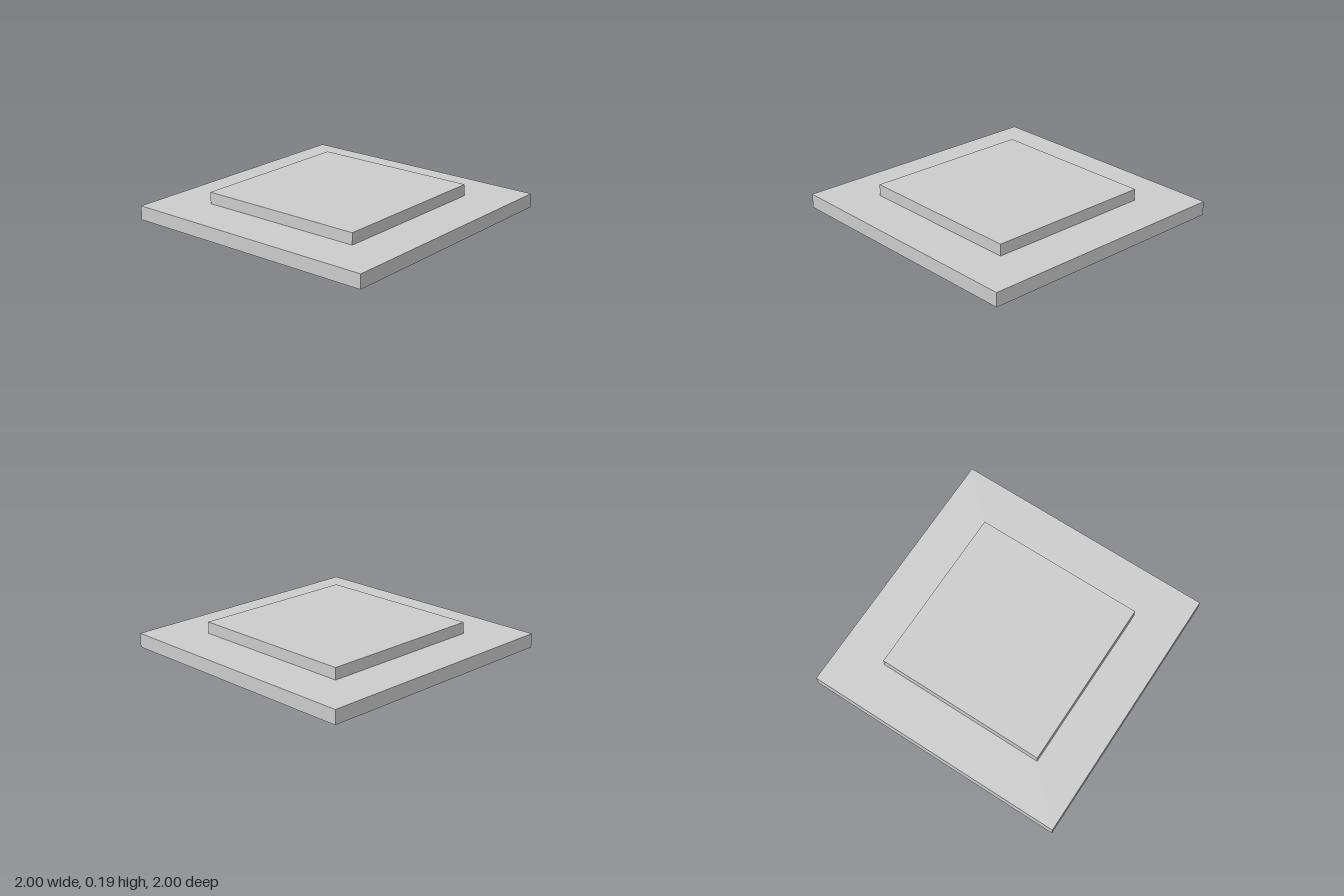
import * as THREE from 'three';

const BASE_HEIGHT = 0.105;
const STEP_HEIGHT = 0.087;

export function createModel() {
  const group = new THREE.Group();
  group.name = 'steppedPlinth';
  const material = new THREE.MeshStandardMaterial({ color: 0xcccccc });

  // Square slab resting on the given height
  function addSlab(name, width, height, bottom) {
    const slab = new THREE.Mesh(new THREE.BoxGeometry(width, height, width), material);
    slab.name = name;
    slab.position.y = bottom + height / 2;
    group.add(slab);
  }

  addSlab('baseSlab', 2, BASE_HEIGHT, 0);
  addSlab('upperSlab', 1.3, STEP_HEIGHT, BASE_HEIGHT);

  return group;
}
